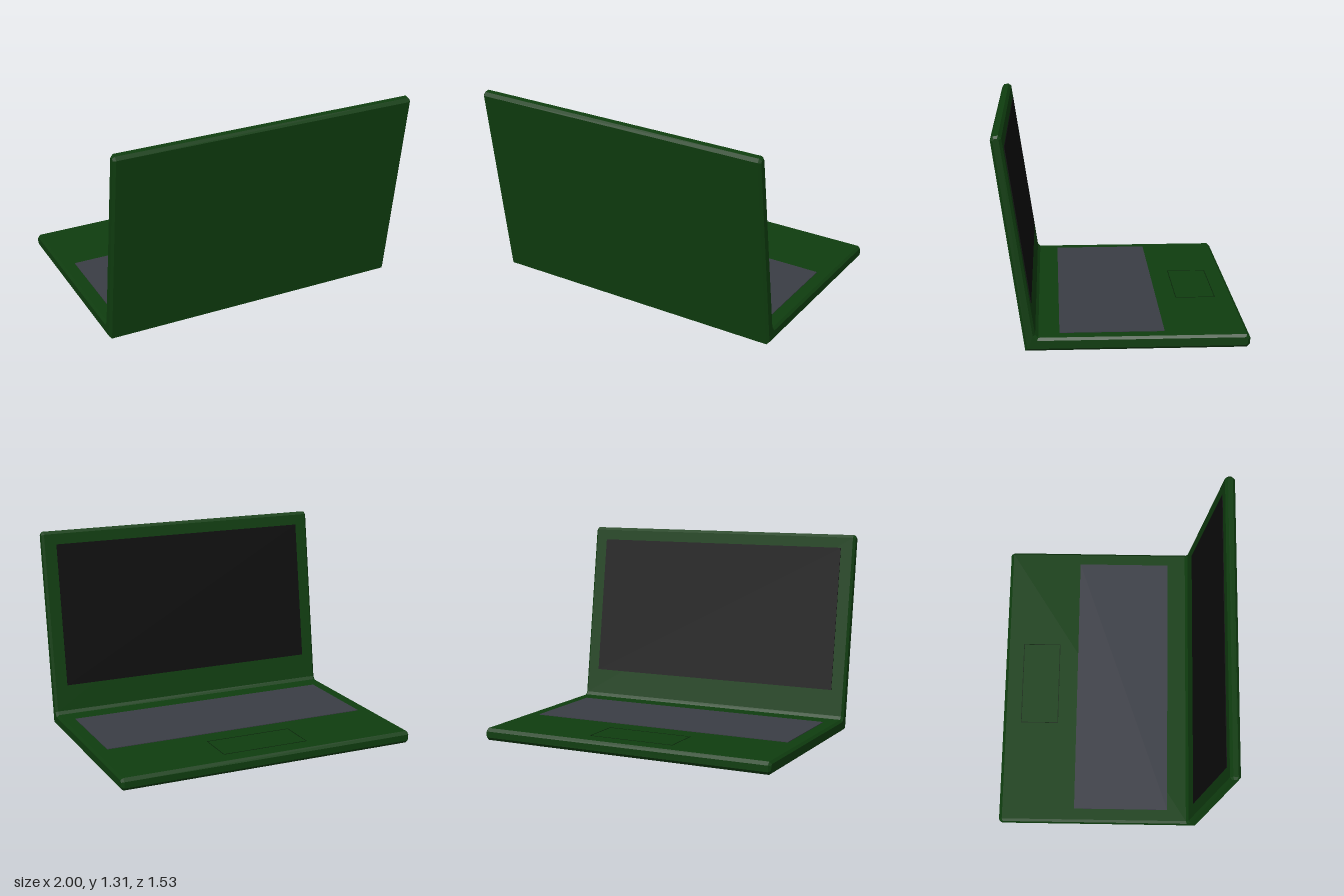
import * as THREE from 'three';

const green = new THREE.MeshStandardMaterial({ name: 'casing green', color: 0x0f3d0f });
const darkGreen = new THREE.MeshStandardMaterial({ name: 'groove dark green', color: 0x092609 });
const grey = new THREE.MeshStandardMaterial({ name: 'keyboard grey', color: 0x3a3d45 });
const black = new THREE.MeshStandardMaterial({ name: 'screen black', color: 0x0c0c0c });

// Profiles are given as [z, y]
const LID_BOTTOM = [0.525, 0.1];
const LID_TOP = [0.7, 1.29];

function plate(name, material, w, h, d, x, y, z) {
  const mesh = new THREE.Mesh(new THREE.BoxGeometry(w, h, d), material);
  mesh.name = name;
  mesh.position.set(x, y, z);
  return mesh;
}

export function createModel() {
  const model = new THREE.Group();
  model.name = 'laptop';

  // Casing: base and open lid share one side profile, swept across the width with bevelled ends
  const profile = [
    [-0.745, 0], [0.585, 0], [0.765, 1.28], [0.75, 1.302], [0.718, 1.307],
    LID_TOP, LID_BOTTOM, [0.507, 0.08], [-0.745, 0.08], [-0.765, 0.06], [-0.765, 0.02],
  ];
  const shape = new THREE.Shape(profile.map(([z, y]) => new THREE.Vector2(z, y)));
  const bevel = 0.015;
  const casingGeometry = new THREE.ExtrudeGeometry(shape, {
    depth: 2 - 2 * bevel, bevelEnabled: true, bevelSegments: 1,
    bevelThickness: bevel, bevelSize: bevel, bevelOffset: -bevel,
  });
  casingGeometry.translate(0, 0, -(1 - bevel));
  casingGeometry.rotateY(-Math.PI / 2);
  const casing = new THREE.Mesh(casingGeometry, green);
  casing.name = 'casing';
  model.add(casing);

  // Keyboard panel
  model.add(plate('keyboard', grey, 1.82, 0.006, 0.635, 0, 0.081, 0.0625));

  // Screen, lying on the inner face of the lid
  const dz = LID_TOP[0] - LID_BOTTOM[0];
  const dy = LID_TOP[1] - LID_BOTTOM[1];
  const screenLow = 0.27, screenHigh = 1.22;
  const midY = (screenLow + screenHigh) / 2;
  const midZ = LID_BOTTOM[0] + (midY - LID_BOTTOM[1]) * dz / dy;
  const tilt = Math.atan2(dz, dy);
  const screen = plate('screen', black, 1.81, (screenHigh - screenLow) / Math.cos(tilt), 0.008, 0, midY, midZ);
  screen.rotation.x = tilt;
  model.add(screen);

  // Trackpad outline
  const trackpad = new THREE.Group();
  trackpad.name = 'trackpad';
  const cx = -0.01, cz = -0.513, w = 0.58, d = 0.255, line = 0.005;
  for (const s of [-1, 1]) {
    trackpad.add(plate('trackpadLongEdge', darkGreen, w + line, 0.003, line, cx, 0.08, cz + s * d / 2));
    trackpad.add(plate('trackpadShortEdge', darkGreen, line, 0.003, d - line, cx + s * w / 2, 0.08, cz));
  }
  model.add(trackpad);

  return model;
}
